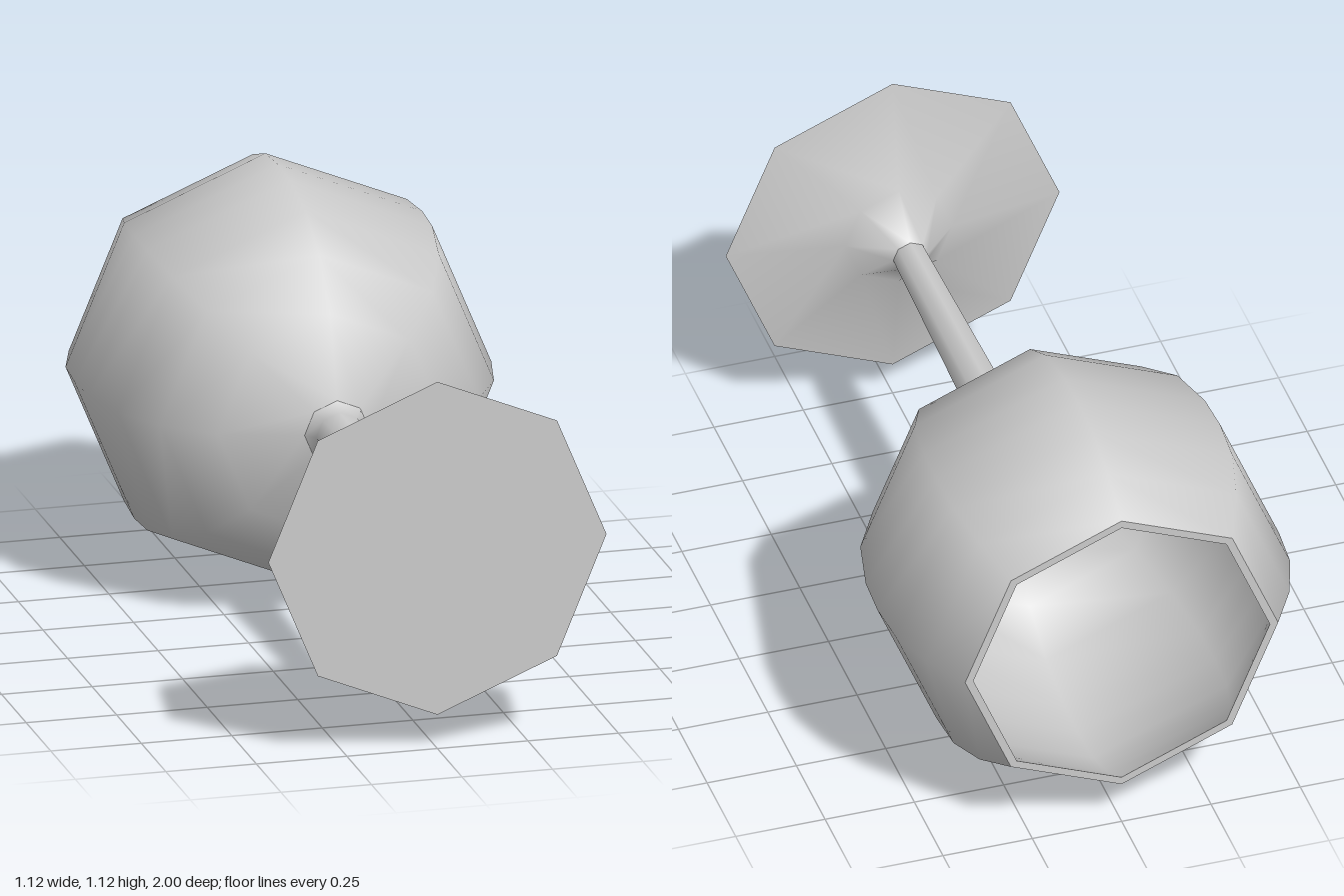
import * as THREE from 'three';

const SIDES = 8;

export function createModel() {
  const model = new THREE.Group();
  model.name = 'wineGlass';
  const material = new THREE.MeshStandardMaterial({ color: 0xcccccc });

  // Profiles are [radius, height along the glass], listed foot to mouth
  const turned = (name, profile) => {
    const points = profile.map(([r, h]) => new THREE.Vector2(r, h));
    const mesh = new THREE.Mesh(new THREE.LatheGeometry(points, SIDES), material);
    mesh.name = name;
    model.add(mesh);
  };

  // Flat underside and flared top of the foot
  turned('footBase', [[0, -1], [0.467, -1]]);
  turned('foot', [[0.467, -1], [0.15, -0.945], [0.048, -0.845]]);

  // Slightly tapered stem
  turned('stem', [[0.048, -0.845], [0.066, -0.01], [0.09, 0.02]]);

  // Outer wall of the bowl
  const outer = [
    [0.09, 0.02], [0.31, 0.09], [0.44, 0.2], [0.52, 0.34], [0.556, 0.5],
    [0.562, 0.62], [0.552, 0.75], [0.508, 0.88], [0.438, 1],
  ];
  turned('bowlOuter', outer);

  // Flat lip and inner wall, running back down to the bottom of the bowl
  turned('bowlLip', [[0.438, 1], [0.415, 1]]);
  const inner = outer.slice(2, -1).map(([r, h]) => [r - 0.023, h]).reverse();
  turned('bowlInner', [[0.415, 1], ...inner, [0.29, 0.11], [0.08, 0.045], [0, 0.04]]);

  // Lay the glass down: foot towards the front, mouth towards the back
  model.children.forEach((mesh) => {
    mesh.rotation.x = -Math.PI / 2;
    mesh.position.y = 0.562;
  });
  return model;
}
